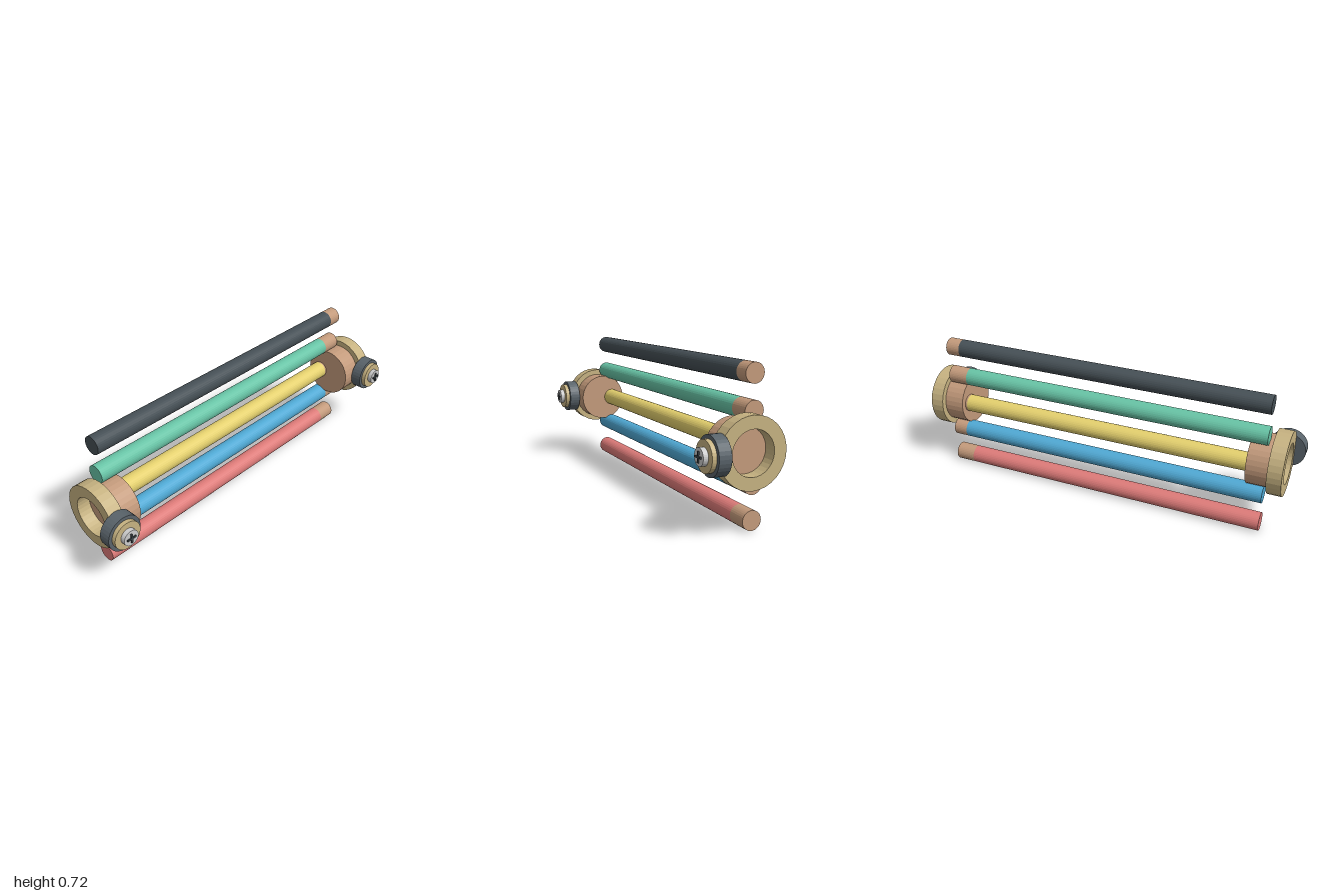
import * as THREE from 'three';

const paint = (color) => new THREE.MeshStandardMaterial({ color, flatShading: true });
const tan = paint(0xc39a7b);
const brass = paint(0xc6b281);
const rubber = paint(0x59636a);
const steel = paint(0xc4c6c6);
const dark = paint(0x3c4448);

const ROD_Z = -0.095, HUB_Z = -0.039, MID_Y = 0.363;

function part(parent, name, geometry, material, x = 0, y = 0, z = 0) {
  const mesh = new THREE.Mesh(geometry, material);
  mesh.name = name;
  mesh.position.set(x, y, z);
  parent.add(mesh);
  return mesh;
}

// Cylinder lying along x between two positions
function barX(parent, name, r, x0, x1, y, z, material) {
  const g = new THREE.CylinderGeometry(r, r, Math.abs(x1 - x0), 32).rotateZ(Math.PI / 2);
  return part(parent, name, g, material, (x0 + x1) / 2, y, z);
}

// Disc facing the front between two depths
function discZ(parent, name, r, z0, z1, material) {
  const g = new THREE.CylinderGeometry(r, r, z1 - z0, 32).rotateX(Math.PI / 2);
  return part(parent, name, g, material, 0, 0, (z0 + z1) / 2);
}

// Coloured rod with a bare tip on its left end
function rod(name, color, y, tipStart) {
  const group = new THREE.Group();
  group.name = name;
  barX(group, 'rodBody', 0.0455, -0.855, tipStart, y, ROD_Z, paint(color));
  barX(group, 'rodTip', 0.0455, tipStart, 0.855, y, ROD_Z, tan);
  return group;
}

// End holder: hub, open rim and the screwed knob in front
function holder(side) {
  const group = new THREE.Group();
  group.name = side > 0 ? 'leftHolder' : 'rightHolder';
  barX(group, 'hub', 0.129, side * 0.77, side * 0.88, MID_Y, HUB_Z, tan);

  const h = 0.035;
  const profile = [[0.1, -h], [0.158, -h], [0.158, h], [0.1, h], [0.1, -h]]
    .map(([r, y]) => new THREE.Vector2(r, y));
  const rim = new THREE.LatheGeometry(profile, 32).rotateZ(Math.PI / 2);
  part(group, 'rim', rim, brass, side * 0.911, MID_Y, HUB_Z);

  const knob = new THREE.Group();
  knob.name = 'knob';
  knob.position.set(side * 0.912, MID_Y, 0);
  discZ(knob, 'knobBase', 0.088, 0.092, 0.15, rubber);
  discZ(knob, 'washer', 0.07, 0.15, 0.171, brass);
  discZ(knob, 'screwHead', 0.039, 0.171, 0.194, steel);
  part(knob, 'crossUpright', new THREE.BoxGeometry(0.009, 0.048, 0.008), dark, 0, 0, 0.196);
  part(knob, 'crossBar', new THREE.BoxGeometry(0.048, 0.009, 0.008), dark, 0, 0, 0.196);
  group.add(knob);
  return group;
}

export function createModel() {
  const model = new THREE.Group();
  model.name = 'rodRack';
  const rods = [
    ['redRod', 0xdc7a78, 0.0465, 0.75],
    ['blueRod', 0x4fa8d3, 0.205, 0.78],
    ['yellowRod', 0xe3cf6d, MID_Y, 0.76],
    ['greenRod', 0x67c3a5, 0.52, 0.75],
    ['blackRod', 0x454f55, 0.678, 0.78],
  ];
  for (const r of rods) model.add(rod(...r));
  for (const side of [1, -1]) model.add(holder(side));
  return model;
}
